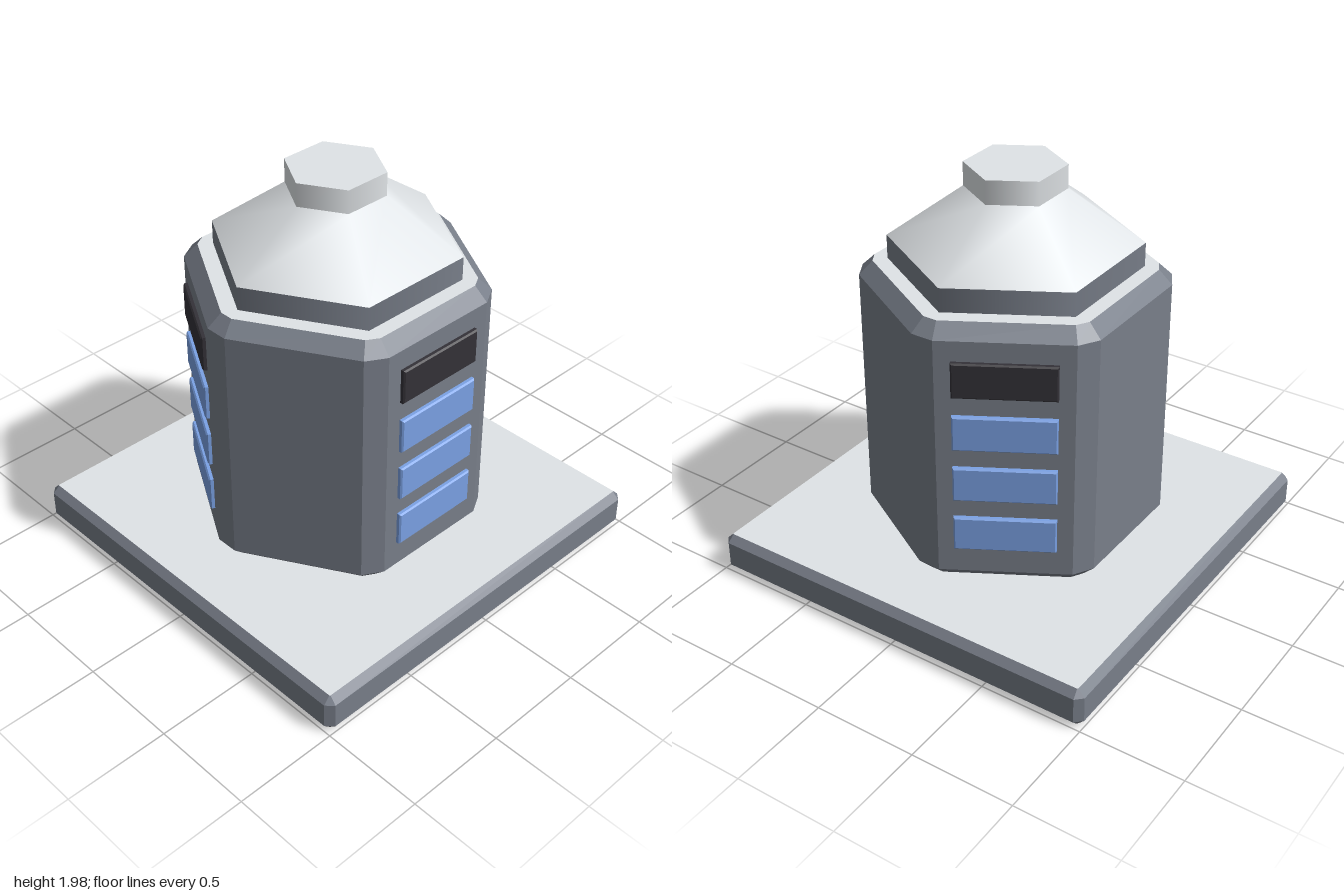
import * as THREE from 'three';

const mat = (name, color) => {
  const m = new THREE.MeshStandardMaterial({ color });
  m.name = name;
  return m;
};

// Corners of a regular polygon (given its apothem), each corner cut by `cut` along both edges
function cutPolygon(sides, apothem, cut, turn, y) {
  const R = apothem / Math.cos(Math.PI / sides);
  const corner = (i) => {
    const a = turn + (i / sides) * Math.PI * 2;
    return new THREE.Vector3(R * Math.cos(a), y, -R * Math.sin(a));
  };
  const t = cut / corner(0).distanceTo(corner(1));
  const points = [];
  for (let i = 0; i < sides; i++) {
    points.push(corner(i).lerp(corner(i - 1), t), corner(i).lerp(corner(i + 1), t));
  }
  return points;
}

// Prism with chamfered edges; group 0 is the sides, group 1 the bottom and top faces
function chamferedPrism(sides, apothem, y0, y1, bevel, capCut, turn) {
  const inner = apothem - bevel;
  const rings = [
    cutPolygon(sides, inner, capCut, turn, y0),
    cutPolygon(sides, apothem, bevel, turn, y0 + bevel),
    cutPolygon(sides, apothem, bevel, turn, y1 - bevel),
    cutPolygon(sides, inner, capCut, turn, y1),
  ];
  const n = sides * 2;
  const pos = [];
  const tri = (...pts) => pts.forEach((p) => pos.push(p.x, p.y, p.z));
  for (let r = 0; r < 3; r++) {
    for (let i = 0; i < n; i++) {
      const j = (i + 1) % n;
      const [lo, hi] = [rings[r], rings[r + 1]];
      tri(lo[i], lo[j], hi[j]);
      tri(lo[i], hi[j], hi[i]);
    }
  }
  const sideCount = pos.length / 3;
  for (let i = 1; i < n - 1; i++) {
    tri(rings[0][0], rings[0][i + 1], rings[0][i]);
    tri(rings[3][0], rings[3][i], rings[3][i + 1]);
  }
  const g = new THREE.BufferGeometry();
  g.setAttribute('position', new THREE.Float32BufferAttribute(pos, 3));
  g.computeVertexNormals();
  g.addGroup(0, sideCount, 0);
  g.addGroup(sideCount, pos.length / 3 - sideCount, 1);
  return g;
}

// Thin bevelled panel, back just behind z = 0
function panelGeometry(width, height) {
  const b = 0.007;
  const w = width / 2 - b, h = height / 2 - b;
  const s = new THREE.Shape();
  s.moveTo(-w, -h).lineTo(w, -h).lineTo(w, h).lineTo(-w, h).closePath();
  return new THREE.ExtrudeGeometry(s, {
    depth: 0.02, bevelEnabled: true, bevelSize: b, bevelThickness: b, bevelSegments: 1,
  });
}

export function createModel() {
  const model = new THREE.Group();
  model.name = 'hexagonalTower';
  const darkGrey = mat('dark grey', 0x797f8a);
  const lightGrey = mat('light grey', 0xe3e7ea);
  const blue = mat('window blue', 0x7ba2e5);
  const black = mat('vent black', 0x343238);

  const add = (name, geometry, material, parent = model) => {
    const mesh = new THREE.Mesh(geometry, material);
    mesh.name = name;
    parent.add(mesh);
    return mesh;
  };

  // Square base slab and hexagonal body, dark sides and light end faces
  add('base', chamferedPrism(4, 1, 0, 0.193, 0.034, 0.004, Math.PI / 4), [darkGrey, lightGrey]);
  add('body', chamferedPrism(6, 0.634, 0.192, 1.503, 0.063, 0.038, 0), [darkGrey, lightGrey]);

  // Hexagonal roof: collar, sloping roof, cap
  const hex = (name, rTop, rBottom, y0, y1, open, material) => {
    const g = new THREE.CylinderGeometry(rTop, rBottom, y1 - y0, 6, 1, open);
    g.rotateY(Math.PI / 6);
    g.translate(0, (y0 + y1) / 2, 0);
    add(name, g, material);
  };
  hex('collar', 0.577, 0.577, 1.5, 1.617, true, darkGrey);
  hex('roof', 0.23, 0.577, 1.617, 1.867, true, lightGrey);
  hex('cap', 0.23, 0.23, 1.867, 1.98, false, lightGrey);

  // A vent above three windows, on every second face
  const panel = panelGeometry(0.46, 0.171);
  [0, 1, 2].forEach((k) => {
    const column = new THREE.Group();
    column.name = 'windowColumn';
    column.rotation.y = (k * Math.PI * 2) / 3;
    model.add(column);
    [0.471, 0.733, 0.995, 1.258].forEach((y, i) => {
      const mesh = add(i === 3 ? 'vent' : 'window', panel, i === 3 ? black : blue, column);
      mesh.position.set(0, y, 0.629);
    });
  });
  return model;
}
